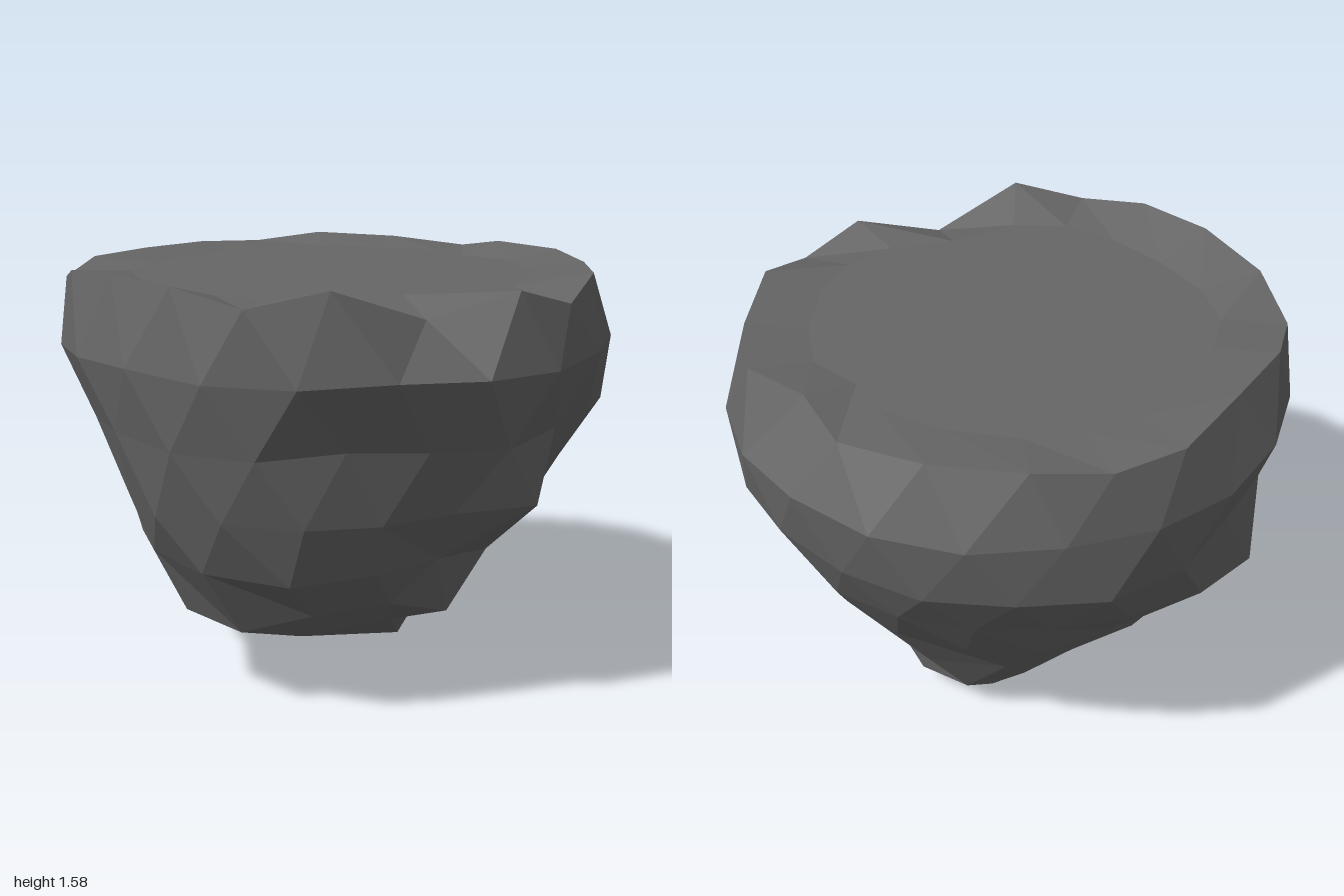
import * as THREE from 'three';

const TAU = Math.PI * 2;

// All corner loops run from +x towards +z
const RIM = [
  [0.95, 1.47, 0.01], [0.89, 1.54, 0.26], [0.68, 1.46, 0.5], [0.53, 1.58, 0.82], [0.3, 1.52, 0.96],
  [0.02, 1.57, 0.97], [-0.29, 1.58, 0.9], [-0.59, 1.55, 0.77], [-0.8, 1.49, 0.58], [-0.89, 1.53, 0.33],
  [-0.9, 1.53, 0.02], [-0.9, 1.52, -0.33], [-0.78, 1.51, -0.56], [-0.59, 1.54, -0.74], [-0.29, 1.53, -0.87],
  [0.02, 1.51, -0.91], [0.24, 1.55, -0.81], [0.51, 1.54, -0.78], [0.73, 1.53, -0.56], [0.91, 1.54, -0.25],
];

// Lower edge of the flanks, with lobes at the front and both sides
const LOBES = [
  [0.57, 0.34, 0.14], [0.45, 0.4, 0.33], [0.25, 0.37, 0.52], [0.04, 0.31, 0.66], [-0.23, 0.33, 0.63],
  [-0.36, 0.36, 0.46], [-0.57, 0.31, 0.28], [-0.56, 0.35, 0.02], [-0.46, 0.38, -0.25], [-0.3, 0.36, -0.45],
  [-0.03, 0.34, -0.56], [0.28, 0.37, -0.44], [0.4, 0.4, -0.24], [0.48, 0.38, -0.05],
];

// Underside between the lobes and the tip
const UNDERSIDE = [
  [0.34, 0.26, 0.15], [0.08, 0.2, 0.35], [-0.12, 0.22, 0.28], [-0.3, 0.15, 0.16], [-0.42, 0.26, -0.02],
  [-0.28, 0.2, -0.3], [-0.1, 0.13, -0.42], [0.13, 0.09, -0.4], [0.27, 0.2, -0.12],
];

const TIP = [
  [0.17, 0.06, -0.18], [0, 0.07, -0.02], [-0.15, 0.06, -0.1], [-0.13, 0.06, -0.3], [0.09, 0.07, -0.36],
];

// A loop of corners at one height, given by their distances from the axis
function ring(y, shift, radii, tilt = 0) {
  const points = radii.map((r, i) => {
    const a = ((i + shift) / radii.length) * TAU;
    const z = r * Math.sin(a);
    return [r * Math.cos(a), y + tilt * z + 0.012 * Math.cos(i * 1.9 + y * 7), z];
  });
  return { points, shift };
}

// Joins two loops with triangles; their corner counts may differ
function stitch(out, upper, lower) {
  const count = (r) => (r.points.length > 1 ? r.points.length : 0);
  const at = (r, i) => r.points[i % r.points.length];
  const nu = count(upper), nl = count(lower);
  let i = 0, j = 0;
  while (i < nu || j < nl) {
    const nextU = i < nu ? (i + 1 + upper.shift) / nu : Infinity;
    const nextL = j < nl ? (j + 1 + lower.shift) / nl : Infinity;
    if (nextU <= nextL) {
      out.push(...at(upper, i), ...at(upper, i + 1), ...at(lower, j));
      i++;
    } else {
      out.push(...at(upper, i), ...at(lower, j + 1), ...at(lower, j));
      j++;
    }
  }
}

function surface(name, loops, material) {
  const pos = [];
  for (let k = 0; k + 1 < loops.length; k++) stitch(pos, loops[k], loops[k + 1]);
  const geo = new THREE.BufferGeometry();
  geo.setAttribute('position', new THREE.Float32BufferAttribute(pos, 3));
  geo.computeVertexNormals();
  const mesh = new THREE.Mesh(geo, material);
  mesh.name = name;
  return mesh;
}

export function createModel() {
  const group = new THREE.Group();
  group.name = 'floatingRock';
  const stone = new THREE.MeshStandardMaterial({ color: 0x666666, flatShading: true });

  const loop = (points, shift = 0) => ({ points, shift });

  // Nearly level top
  group.add(surface('topGround', [
    loop([[0, 1.51, 0]]),
    loop(RIM.map(([x, , z]) => [x * 0.76, 1.51, z * 0.76])),
    loop(RIM),
  ], stone));

  // Faceted flanks with undercuts, tapering to an off-centre tip
  group.add(surface('rockBody', [
    loop(RIM),
    ring(1.28, 0.5, Array.from({ length: 20 }, (_, i) => 1 + 0.012 * Math.abs(Math.sin((i + 0.5) / 20 * TAU)))),
    ring(1.03, 0, [0.905, 0.93, 0.88, 0.87, 0.95, 0.97, 0.95, 0.91, 0.89, 0.93,
      0.91, 0.96, 1, 0.98, 0.97, 0.96, 0.97, 0.98, 1, 0.94]),
    ring(0.79, 0.5, [0.93, 0.81, 0.8, 0.87, 0.9, 0.9, 0.84, 0.79, 0.85, 0.96,
      0.92, 0.86, 0.82, 0.84, 0.86, 0.86, 0.83, 0.82, 0.81, 0.8], -0.02),
    ring(0.56, 0, [0.65, 0.64, 0.7, 0.79, 0.82, 0.78, 0.74, 0.67,
      0.64, 0.66, 0.68, 0.69, 0.7, 0.71, 0.7, 0.67]),
    loop(LOBES, 0.5),
    loop(UNDERSIDE, 0.6),
    loop(TIP),
    loop([[-0.08, 0, -0.24]]),
  ], stone));

  return group;
}
